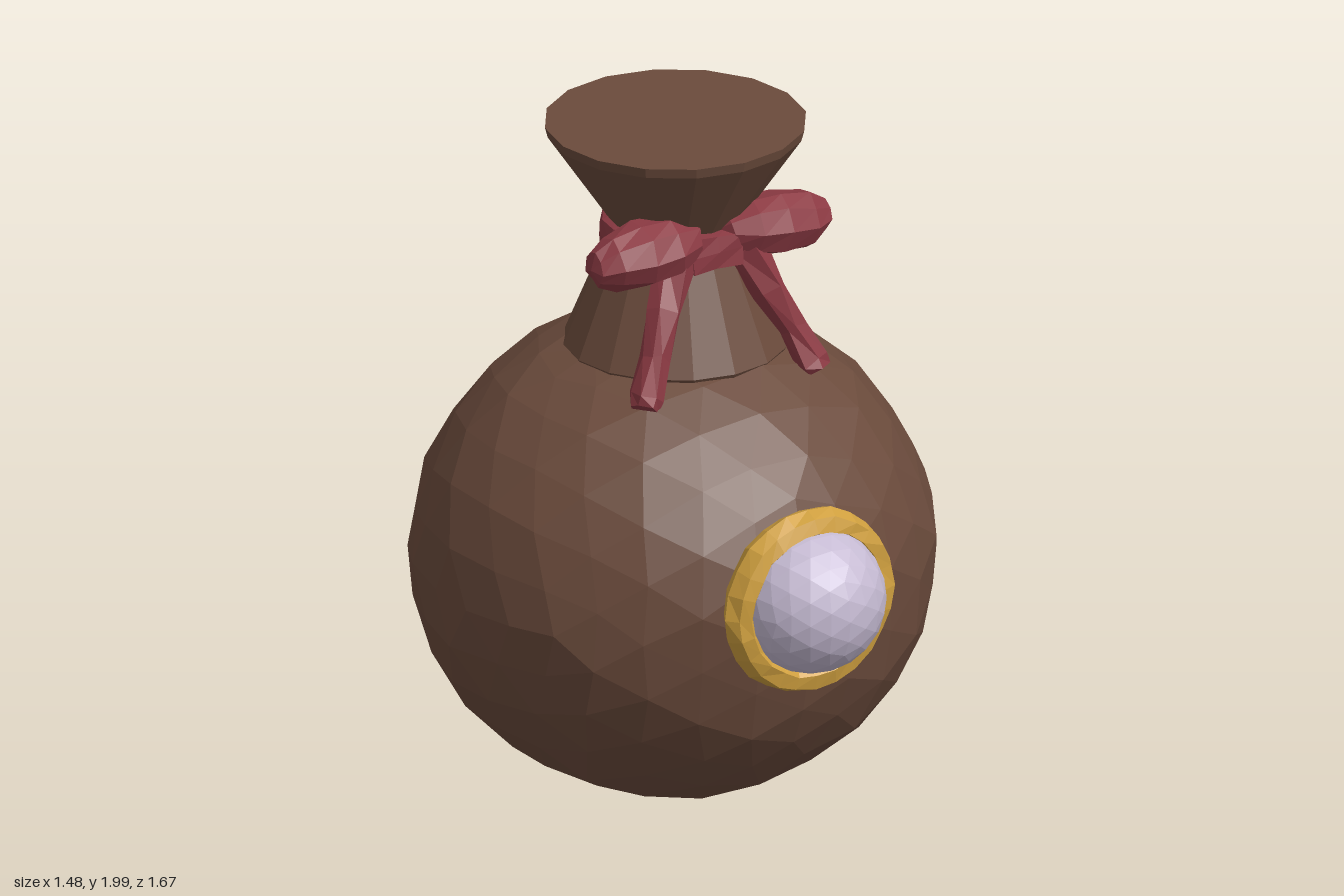
import * as THREE from 'three';

const flat = (name, color) => {
  const m = new THREE.MeshStandardMaterial({ color, flatShading: true });
  m.name = name;
  return m;
};

// Shift each vertex by a hash of its position, so shared corners stay together
function roughen(geo, amount) {
  const p = geo.attributes.position;
  const hash = (x, y, z, k) => {
    const s = Math.sin(Math.round(x * 1e3) * 12.99 + Math.round(y * 1e3) * 78.23 + Math.round(z * 1e3) * 37.72 + k) * 43758.5;
    return s - Math.floor(s) - 0.5;
  };
  for (let i = 0; i < p.count; i++) {
    const x = p.getX(i), y = p.getY(i), z = p.getZ(i);
    p.setXYZ(i, x + amount * hash(x, y, z, 1), y + amount * hash(x, y, z, 2), z + amount * hash(x, y, z, 3));
  }
  geo.computeVertexNormals();
  return geo;
}

const lathe = (pts, sides) =>
  new THREE.LatheGeometry(pts.map(([r, y]) => new THREE.Vector2(r, y)), sides);

export function createModel() {
  const group = new THREE.Group();
  const leather = flat('brown leather', 0x6b4b3c);
  const cloth = flat('red cloth', 0x8c3a43);
  const gold = flat('gold', 0xd0a03f);
  const pearl = flat('pale lilac', 0xc6bbd3);

  const add = (name, geo, mat, x, y, z) => {
    const mesh = new THREE.Mesh(geo, mat);
    mesh.name = name;
    mesh.position.set(x, y, z);
    group.add(mesh);
    return mesh;
  };

  // Round sack, slightly squashed and uneven
  const sack = new THREE.IcosahedronGeometry(1, 4);
  sack.scale(0.742, 0.7, 0.742);
  add('sack', roughen(sack, 0.018), leather, 0, 0.705, -0.1);

  // Gathered neck and flared, closed mouth
  add('neck', lathe([[0.3, 1.31], [0.318, 1.34], [0.195, 1.64], [0.185, 1.71], [0.362, 1.97], [0.37, 2], [0, 2]], 16),
    leather, 0, 0, -0.09);

  // Tie around the neck
  add('tie', roughen(lathe([[0.18, 1.615], [0.212, 1.63], [0.217, 1.67], [0.207, 1.715], [0.17, 1.73]], 16), 0.006),
    cloth, 0, 0, -0.09);
  add('knot', roughen(new THREE.BoxGeometry(0.16, 0.1, 0.07, 2, 2, 1), 0.012), cloth, 0, 1.675, 0.105);

  for (const side of [-1, 1]) {
    const name = side > 0 ? 'left' : 'right';
    // Bow loop: a fat pod lying along x
    const loop = lathe([[0, -0.19], [0.055, -0.17], [0.088, -0.09], [0.093, 0], [0.08, 0.1], [0.05, 0.155], [0, 0.172]], 9);
    const pod = add(name + 'BowLoop', roughen(loop, 0.012), cloth, side * 0.22, 1.703, 0.083);
    pod.rotation.z = -side * (Math.PI / 2 + 0.08);

    // Hanging ribbon end
    const top = new THREE.Vector3(side * 0.115, 1.66, 0.09);
    const end = new THREE.Vector3(side * 0.285, 1.285, 0.205);
    const length = top.distanceTo(end);
    const tail = lathe([[0, 0], [0.04, 0.005], [0.048, 0.04], [0.046, length * 0.35], [0.052, length * 0.65], [0.055, length], [0, length]], 7);
    const ribbon = add(name + 'RibbonEnd', roughen(tail, 0.02), cloth, end.x, end.y, end.z);
    ribbon.quaternion.setFromUnitVectors(new THREE.Vector3(0, 1, 0), top.clone().sub(end).normalize());
  }

  // Brooch on the front: gold rim and domed stone
  const rim = new THREE.TorusGeometry(0.227, 0.046, 7, 24);
  rim.scale(1, 1, 1.15);
  add('broochRim', roughen(rim, 0.01), gold, 0, 0.797, 0.617);
  add('broochStone', new THREE.IcosahedronGeometry(0.213, 3), pearl, 0, 0.805, 0.628);

  return group;
}
